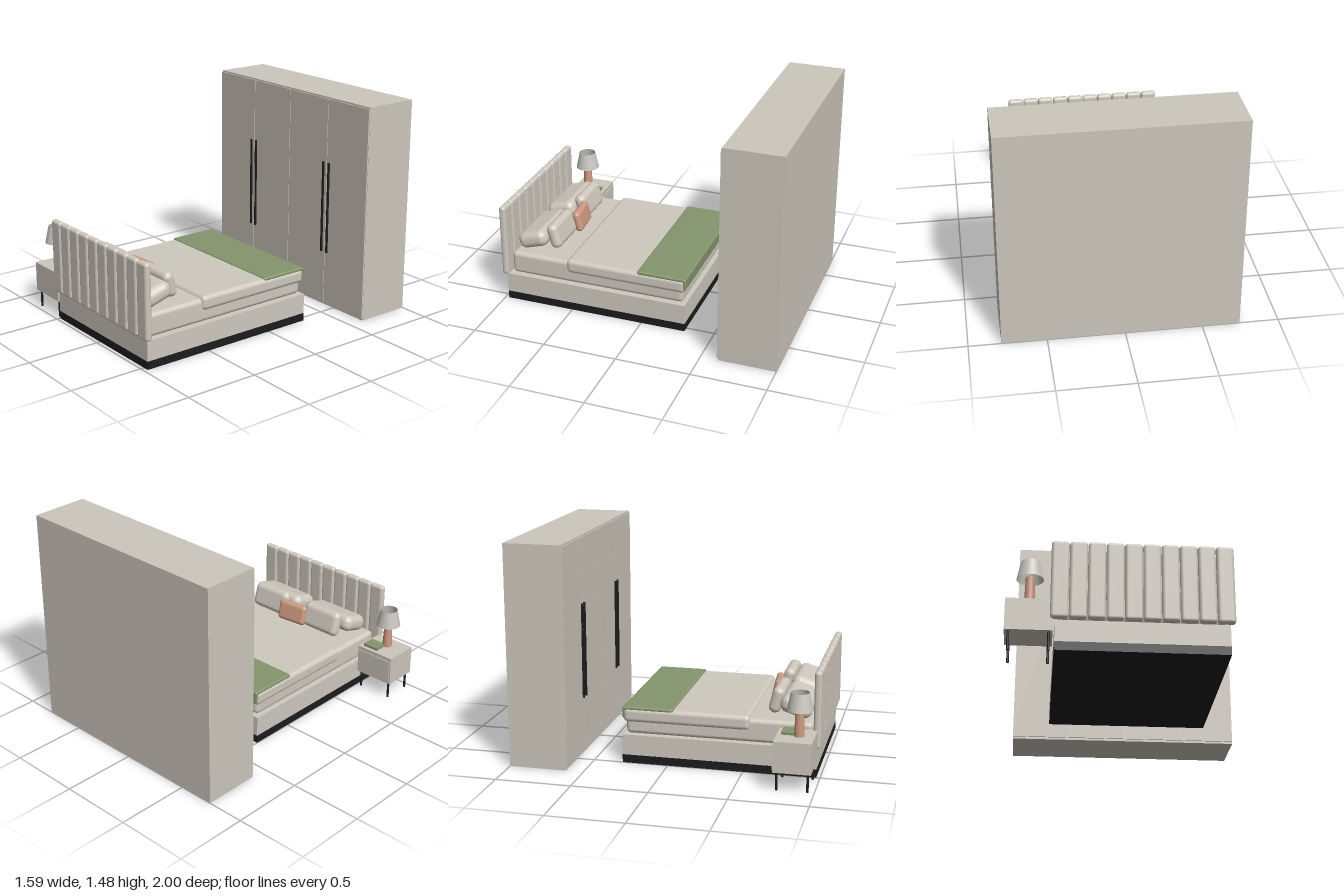
import * as THREE from 'three';
import { RoundedBoxGeometry } from 'three/addons/geometries/RoundedBoxGeometry.js';

const material = (name, color, side = THREE.FrontSide) => {
  const m = new THREE.MeshStandardMaterial({ color, side });
  m.name = name;
  return m;
};

export function createModel() {
  const linen = material('linen', 0xcfc9be);
  const lacquer = material('lacquer', 0xcdc7bc);
  const black = material('black', 0x1c1c1e);
  const copper = material('copper', 0xcf9a7f);
  const green = material('green', 0x84956c);
  const shadeGrey = material('shadeGrey', 0xcac7c2, THREE.DoubleSide);

  const model = new THREE.Group();
  model.name = 'bedroomSet';
  const group = (name) => {
    const g = new THREE.Group();
    g.name = name;
    model.add(g);
    return g;
  };
  const add = (parent, name, geometry, mat, x = 0, y = 0, z = 0) => {
    const m = new THREE.Mesh(geometry, mat);
    m.name = name;
    m.position.set(x, y, z);
    parent.add(m);
    return m;
  };
  // Box given by its limits on each axis; r > 0 rounds the edges
  const box = (parent, name, mat, [x0, x1], [y0, y1], [z0, z1], r = 0) => {
    const s = [x1 - x0, y1 - y0, z1 - z0];
    const geo = r ? new RoundedBoxGeometry(...s, 4, r) : new THREE.BoxGeometry(...s);
    return add(parent, name, geo, mat, (x0 + x1) / 2, (y0 + y1) / 2, (z0 + z1) / 2);
  };

  // Wardrobe: carcass, four doors and two pairs of long handles
  const wardrobe = group('wardrobe');
  box(wardrobe, 'wardrobeBody', lacquer, [-0.745, 0.79], [0, 1.475], [-1, -0.617]);
  const doorPitch = 1.535 / 4;
  for (let i = 0; i < 4; i++) {
    const x = -0.745 + i * doorPitch;
    box(wardrobe, 'wardrobeDoor', lacquer,
      [x + 0.002, x + doorPitch - 0.002], [0.015, 1.465], [-0.62, -0.608]);
  }
  for (const x of [-0.388, -0.338, 0.379, 0.432]) {
    box(wardrobe, 'doorHandle', black, [x - 0.005, x + 0.005], [0.39, 1.03], [-0.61, -0.595]);
  }

  // Bed base
  const bed = group('bed');
  box(bed, 'bedPlinth', black, [-0.5, 0.542], [0, 0.055], [-0.305, 0.975]);
  box(bed, 'bedFrame', linen, [-0.5, 0.542], [0.055, 0.192], [-0.305, 0.975]);

  // Padded headboard channels
  const pitch = 1.105 / 10;
  for (let i = 0; i < 10; i++) {
    const x = -0.53 + i * pitch;
    box(bed, 'headboardChannel', linen,
      [x + 0.001, x + pitch - 0.001], [0.197, 0.706], [0.953, 1], 0.02);
  }

  // Mattress, folded duvet and throw
  box(bed, 'mattress', linen, [-0.48, 0.52], [0.195, 0.352], [-0.285, 0.945], 0.03);
  box(bed, 'duvet', linen, [-0.495, 0.537], [0.275, 0.372], [-0.303, 0.538], 0.03);
  box(bed, 'throwTop', green, [-0.49, 0.532], [0.354, 0.382], [-0.306, 0.033], 0.013);
  box(bed, 'throwEnd', green, [-0.49, 0.532], [0.3, 0.38], [-0.308, -0.284], 0.011);

  // Pillows, mirrored about the bed's centre line
  const bedX = 0.022;
  const pillow = (name, mat, size, r, pos, tilt, turn = 0) => {
    const p = add(bed, name, new RoundedBoxGeometry(...size, 6, r), mat, ...pos);
    p.rotation.set(tilt, turn, 0, 'YXZ');
  };
  for (const s of [-1, 1]) {
    pillow('sleepingPillow', linen, [0.42, 0.115, 0.21], 0.05, [bedX + s * 0.237, 0.427, 0.823], 0.3);
    pillow('uprightPillow', linen, [0.305, 0.175, 0.08], 0.039, [bedX + s * 0.237, 0.449, 0.688], 0.27);
  }
  pillow('accentCushion', copper, [0.228, 0.145, 0.055], 0.027, [0.021, 0.438, 0.64], 0.22, 0.09);

  // Nightstand with its drawer facing the foot of the bed
  const stand = group('nightstand');
  box(stand, 'nightstandBody', lacquer, [-0.795, -0.51], [0.12, 0.322], [0.74, 0.98]);
  box(stand, 'drawerFront', lacquer, [-0.785, -0.52], [0.13, 0.295], [0.734, 0.741]);
  for (const x of [-0.77, -0.533]) {
    for (const z of [0.762, 0.957]) {
      add(stand, 'nightstandLeg', new THREE.CylinderGeometry(0.008, 0.008, 0.12, 12), black, x, 0.06, z);
    }
  }
  box(stand, 'book', green, [-0.65, -0.535], [0.322, 0.339], [0.767, 0.863]);

  // Table lamp with an open shade
  const lamp = group('lamp');
  lamp.position.set(-0.652, 0.322, 0.883);
  add(lamp, 'lampBase', new THREE.CylinderGeometry(0.027, 0.033, 0.18, 32), copper, 0, 0.09, 0);
  const shade = [[0.083, 0.168], [0.058, 0.284]].map(([r, y]) => new THREE.Vector2(r, y));
  add(lamp, 'lampShade', new THREE.LatheGeometry(shade, 40), shadeGrey);

  return model;
}
